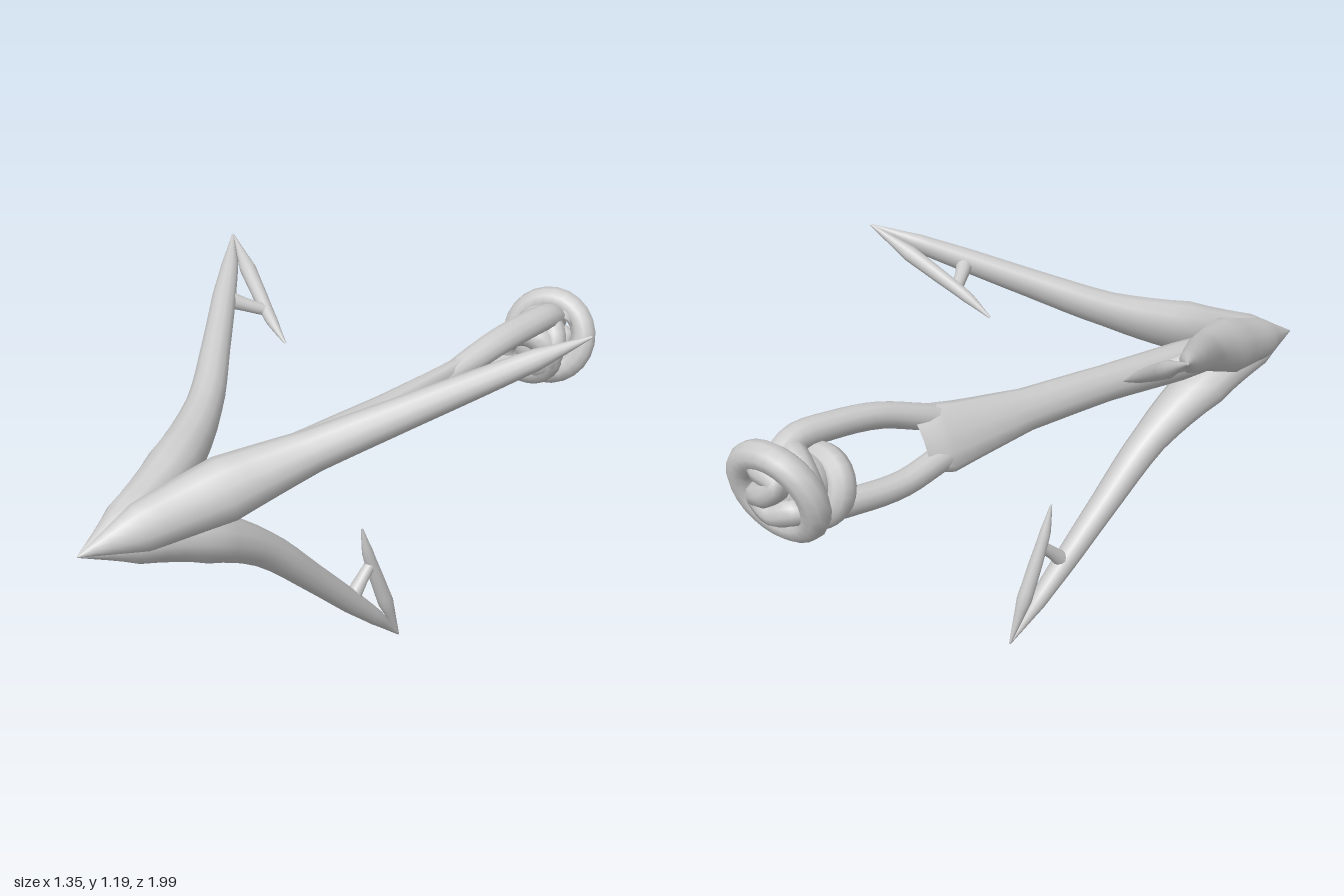
import * as THREE from 'three';

const V = (x, y, z) => new THREE.Vector3(x, y, z);
const mat = new THREE.MeshStandardMaterial({ color: 0xcccccc });

function mesh(name, geometry) {
  const m = new THREE.Mesh(geometry, mat);
  m.name = name;
  return m;
}

// Smooth loft of elliptical sections [centre, half width along side, half depth]
function loft(name, sections, side, steps = 20, sides = 12) {
  const path = new THREE.CatmullRomCurve3(sections.map(s => s[0]));
  const last = sections.length - 1;
  const pos = [], index = [];
  for (let i = 0; i <= steps; i++) {
    const t = i / steps;
    const k = Math.min(Math.floor(t * last), last - 1), f = t * last - k;
    const a = THREE.MathUtils.lerp(sections[k][1], sections[k + 1][1], f);
    const b = THREE.MathUtils.lerp(sections[k][2], sections[k + 1][2], f);
    const c = path.getPoint(t);
    const n = path.getTangent(t).cross(side).normalize();
    for (let j = 0; j < sides; j++) {
      const q = j / sides * Math.PI * 2;
      const p = c.clone().addScaledVector(side, a * Math.cos(q)).addScaledVector(n, b * Math.sin(q));
      pos.push(p.x, p.y, p.z);
      if (i < steps) {
        const j2 = (j + 1) % sides, r = i * sides, r2 = r + sides;
        index.push(r + j, r + j2, r2 + j2, r + j, r2 + j2, r2 + j);
      }
    }
  }
  const g = new THREE.BufferGeometry();
  g.setAttribute('position', new THREE.Float32BufferAttribute(pos, 3));
  g.setIndex(index);
  g.computeVertexNormals();
  return mesh(name, g);
}

// One claw in the plane of its radial direction and the shaft axis
function claw(degrees) {
  const g = new THREE.Group();
  g.name = 'claw';
  const q = THREE.MathUtils.degToRad(degrees);
  const dir = V(Math.cos(q), Math.sin(q), 0);
  const side = V(-Math.sin(q), Math.cos(q), 0);
  const at = (r, z) => {
    const f = THREE.MathUtils.clamp((z - 0.5) / 0.5, 0, 1);
    return V(-0.01 - 0.02 * f, 0.78 - 0.03 * f, z).addScaledVector(dir, r);
  };
  const part = (name, list, steps) =>
    g.add(loft(name, list.map(([r, z, a, b]) => [at(r, z), a, b]), side, steps));

  part('arm', [
    [0, 1, 0.001, 0.001], [0.035, 0.83, 0.065, 0.055], [0.115, 0.61, 0.088, 0.072],
    [0.245, 0.4, 0.058, 0.052], [0.42, 0.21, 0.046, 0.042], [0.565, 0.06, 0.037, 0.036],
    [0.67, -0.05, 0.029, 0.026], [0.78, -0.155, 0.003, 0.003],
  ], 28);
  part('barb', [
    [0.34, 0, 0.003, 0.003], [0.43, -0.022, 0.017, 0.018], [0.53, -0.058, 0.022, 0.022],
    [0.64, -0.1, 0.024, 0.025], [0.78, -0.155, 0.003, 0.003],
  ], 16);
  part('barbStrut', [
    [0.565, 0.06, 0.026, 0.028], [0.515, 0.01, 0.02, 0.02], [0.475, -0.035, 0.017, 0.018],
  ], 8);
  return g;
}

export function createModel() {
  const root = new THREE.Group();
  root.name = 'grapplingHook';

  // Three claws merging into the pointed head
  for (const a of [-88, 31, 150.5]) root.add(claw(a));

  // Shaft, flattening towards the tilted eye
  const d = V(0.5, 0.866, 0), across = V(-0.866, 0.5, 0);
  root.add(loft('shaft', [
    [V(-0.02, 0.77, 0.8), 0.05, 0.05], [V(-0.012, 0.772, 0.5), 0.06, 0.062],
    [V(-0.008, 0.783, 0.2), 0.055, 0.05], [V(-0.005, 0.787, -0.1), 0.062, 0.045],
    [V(-0.004, 0.79, -0.39), 0.1, 0.042], [V(0, 0.795, -0.47), 0.08, 0.03],
  ], d));

  // Eye: two bowed strands, mirrored about the axis
  for (const s of [1, -1]) {
    const at = (r, z) => V(0.005, 0.79 + 0.025 * (-z - 0.35) / 0.4, z).addScaledVector(d, s * r);
    root.add(loft('eyeStrand', [
      [at(0.035, -0.34), 0.034, 0.04], [at(0.066, -0.44), 0.041, 0.038],
      [at(0.097, -0.56), 0.044, 0.037], [at(0.103, -0.7), 0.044, 0.038],
      [at(0.092, -0.82), 0.042, 0.04], [at(0.04, -0.9), 0.04, 0.04],
    ], across, 18));
  }

  // Knot: crossed rope turns around the end of the eye
  function ring(name, radius, tube, centre, normal) {
    const m = mesh(name, new THREE.TorusGeometry(radius, tube, 10, 24));
    m.position.copy(centre);
    m.quaternion.setFromUnitVectors(V(0, 0, 1), normal.normalize());
    root.add(m);
  }
  ring('knotTurn', 0.075, 0.042, V(0.005, 0.775, -0.785), V(0.25, -0.3, 1));
  ring('knotTurn', 0.078, 0.042, V(0.01, 0.8, -0.83), V(-0.3, 0.25, 1));
  ring('knotCollar', 0.117, 0.041, V(0, 0.798, -0.905), V(0.3, 0.3, 1));

  // Rope end winding through the collar
  const rope = new THREE.CatmullRomCurve3([
    V(-0.06, 0.74, -0.83), V(-0.055, 0.76, -0.9), V(0, 0.745, -0.925), V(0.045, 0.78, -0.935),
    V(-0.01, 0.81, -0.945), V(-0.05, 0.85, -0.93), V(0.02, 0.87, -0.94), V(0.06, 0.85, -0.88),
  ]);
  root.add(mesh('ropeEnd', new THREE.TubeGeometry(rope, 32, 0.036, 10)));
  const core = mesh('knotCore', new THREE.SphereGeometry(0.085, 16, 12));
  core.position.set(0.005, 0.795, -0.84);
  root.add(core);
  return root;
}
